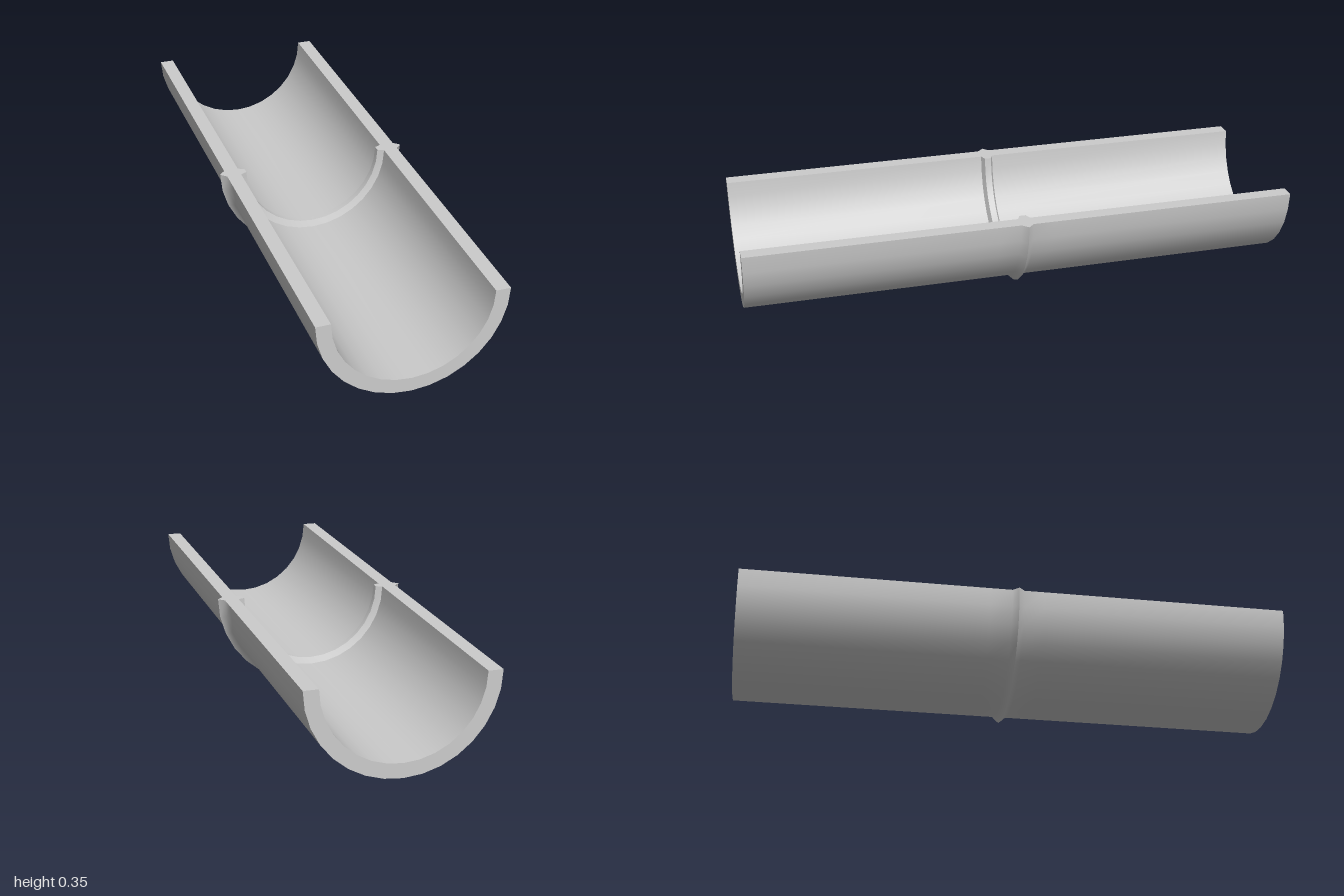
import * as THREE from 'three';
import { toCreasedNormals } from 'three/addons/utils/BufferGeometryUtils.js';

const AXIS_Y = 0.353; // height of the pipe axis, where the pipe is cut in half

// Wall cross-section as [radius, z], counterclockwise
const PROFILE = [
  // outside wall with a pointed ridge
  [0.332, -1], [0.332, -0.1], [0.332, -0.022], [0.353, 0],
  [0.332, 0.022], [0.332, 0.1], [0.332, 1],
  // inside wall with a flat-topped rib
  [0.28, 1], [0.28, 0.022], [0.257, 0.012],
  [0.257, -0.012], [0.28, -0.022], [0.28, -1],
];

export function createModel() {
  const group = new THREE.Group();
  group.name = 'halfPipe';
  const material = new THREE.MeshStandardMaterial({ color: 0xcccccc });

  const add = (name, geometry) => {
    const mesh = new THREE.Mesh(geometry, material);
    mesh.name = name;
    mesh.position.y = AXIS_Y;
    group.add(mesh);
  };

  // Curved wall: the closed section swept through the lower half turn
  const points = [...PROFILE, PROFILE[0]].map(([r, z]) => new THREE.Vector2(r, z));
  const wall = new THREE.LatheGeometry(points, 16, -Math.PI / 2, Math.PI);
  wall.rotateX(Math.PI / 2);
  add('pipeWall', toCreasedNormals(wall, 0.9));

  // Flat cut faces along both upper edges
  for (const [name, side] of [['leftCutFace', 1], ['rightCutFace', -1]]) {
    const section = new THREE.Shape(PROFILE.map(([r, z]) => new THREE.Vector2(side * r, -z)));
    add(name, new THREE.ShapeGeometry(section).rotateX(-Math.PI / 2));
  }

  return group;
}
